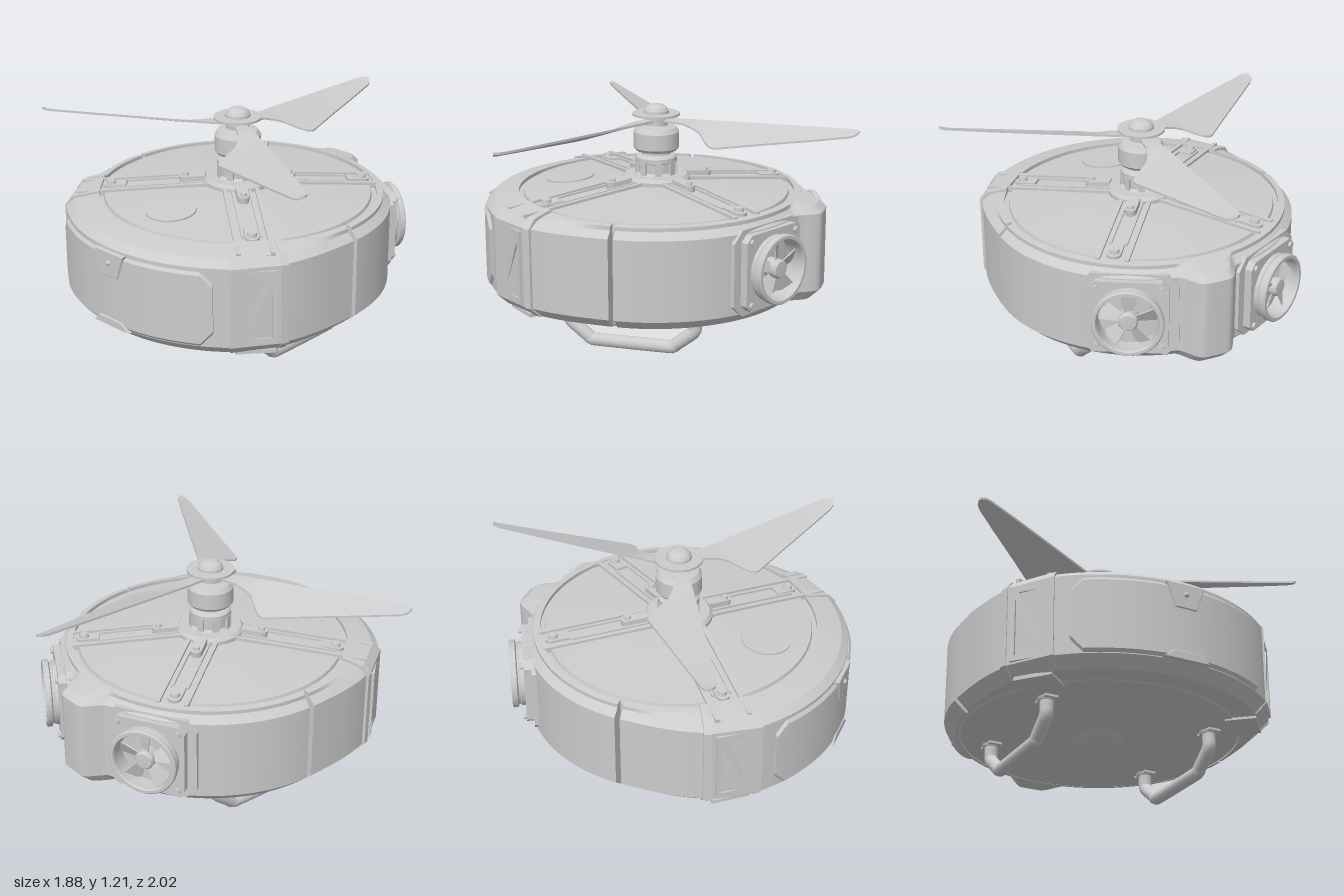
import * as THREE from 'three';
import { toCreasedNormals } from 'three/addons/utils/BufferGeometryUtils.js';

const mat = new THREE.MeshStandardMaterial({ color: 0xcccccc });
const rad = THREE.MathUtils.degToRad;
const smooth = THREE.MathUtils.smoothstep;

function add(parent, name, geo, x = 0, y = 0, z = 0) {
  const m = new THREE.Mesh(geo, mat);
  m.name = name;
  m.position.set(x, y, z);
  parent.add(m);
  return m;
}
function group(parent, name, angle = 0) {
  const g = new THREE.Group();
  g.name = name;
  g.rotation.y = rad(angle);
  parent.add(g);
  return g;
}
const cyl = (r, h, r2 = r, n = 32) => new THREE.CylinderGeometry(r, r2, h, n);
const box = (w, h, d) => new THREE.BoxGeometry(w, h, d);
const lathe = (pts, n = 64) =>
  toCreasedNormals(new THREE.LatheGeometry(pts.map(p => new THREE.Vector2(...p)), n), 0.4);
const poly = pts => new THREE.Shape(pts.map(p => new THREE.Vector2(...p)));
const slab = (shape, depth, bevel = 0) => new THREE.ExtrudeGeometry(shape, {
  depth, bevelEnabled: bevel > 0, bevelSize: bevel, bevelThickness: bevel, bevelSegments: 1, curveSegments: 32 });

// Skin over a list of equal-length convex rings, capped at both ends
function loft(rings) {
  const n = rings[0].length, last = (rings.length - 1) * n, idx = [];
  for (let i = 0; i < rings.length - 1; i++)
    for (let j = 0; j < n; j++) {
      const a = i * n + j, b = i * n + (j + 1) % n;
      idx.push(a, a + n, b + n, a, b + n, b);
    }
  for (let j = 1; j < n - 1; j++) idx.push(0, j, j + 1, last, last + j + 1, last + j);
  const g = new THREE.BufferGeometry();
  g.setAttribute('position', new THREE.Float32BufferAttribute(rings.flat(2), 3));
  g.setIndex(idx);
  return toCreasedNormals(g, 0.4);
}
// Sweep an (r, y) profile around the axis between two angles, 0 = front
function sweep(a0, a1, n, profile) {
  const rings = [];
  for (let i = 0; i <= n; i++) {
    const d = a0 + (a1 - a0) * i / n, a = rad(d);
    rings.push(profile(d).map(([r, y]) => [r * Math.sin(a), y, r * Math.cos(a)]));
  }
  return loft(rings);
}
// Outline radius: round sides, fuller front, narrow bump at the rear
function outline(d) {
  const a = Math.abs(d > 180 ? d - 360 : d);
  return 0.81 + 0.095 * (1 - smooth(a, 40, 88)) + 0.105 * smooth(a, 168, 176);
}
const shell = (extra = 0) => d => {
  const R = outline(d) + extra;
  return [[0.735, 0.225], [R - 0.06, 0.225], [R, 0.28], [R, 0.7],
    [R - 0.04, 0.735 + extra], [0.77, 0.755 + extra], [0.735, 0.76 + extra]];
};

function buildBody(g) {
  add(g, 'core', lathe([[0, 0.22], [0.72, 0.22], [0.738, 0.235], [0.738, 0.74], [0.71, 0.74], [0.705, 0.757],
    [0.45, 0.78], [0.2, 0.8], [0, 0.8]], 96));
  add(g, 'bellyDome', lathe([[0, 0.177], [0.05, 0.182], [0.1, 0.198], [0.14, 0.222]], 40));
  add(g, 'topDisc', cyl(0.13, 0.012), 0, 0.778, 0.49).rotation.x = 0.087;
  add(g, 'frontBumper', sweep(-41, 41, 40, shell()));
  add(g, 'rearShell', sweep(91, 269, 178, shell()));
  // Raised bumper panel with cut corners
  add(g, 'bumperPanel', sweep(-36, 36, 36, d => {
    const t = Math.max(0, (Math.abs(d) - 32) / 4), y0 = 0.285 + 0.07 * t, y1 = 0.68 - 0.06 * t;
    return [[0.88, y0], [0.908, y0], [0.92, y0 + 0.015], [0.92, y1 - 0.015], [0.908, y1], [0.88, y1]];
  }));
  add(g, 'cameraMount', slab(poly([[-0.055, 0.56], [0.055, 0.56], [0.1, 0.685], [-0.1, 0.685]]), 0.025, 0.005), 0, 0, 0.895);
  add(g, 'cameraLens', new THREE.SphereGeometry(0.014, 16, 10), 0, 0.63, 0.925);
  add(g, 'bumperTab', slab(poly([[-0.12, 0.282], [0.12, 0.282], [0.075, 0.32], [-0.075, 0.32]]), 0.02, 0.005), 0, 0, 0.9);
}

// Corner bracket, side shell and skid of one side
function buildSide(g) {
  add(g, 'sideShell', sweep(59.5, 89, 24, shell()));
  add(g, 'cornerBracket', sweep(41, 58, 1, shell(0.01)));
  add(g, 'bracketRib', sweep(57.5, 60, 2, shell(0.014)));
  const b = group(g, 'bracketPanel', 49.5);
  const face = poly([[-0.1, -0.2], [0.1, -0.2], [0.1, 0.19], [-0.1, 0.19]]);
  face.holes.push(poly([[-0.075, 0.165], [0.055, 0.165], [-0.075, -0.12]]),
    poly([[0.075, 0.13], [0.075, -0.17], [-0.06, -0.17]]));
  add(b, 'slottedPlate', slab(face, 0.016), 0, 0.49, 0.878);
  add(b, 'bracketFoot', box(0.2, 0.02, 0.16), 0, 0.222, 0.76);

  const s = group(g, 'skid');
  const half = [[0.22, 0.34], [0.145, 0.34], [0.12, 0.325], [0.05, 0.235], [0.035, 0.205]];
  const pts = [...half, ...half.slice().reverse().map(([y, z]) => [y, -z])]
    .map(([y, z]) => new THREE.Vector3(0.465, y, z));
  add(s, 'skidTube', new THREE.TubeGeometry(new THREE.CatmullRomCurve3(pts, false, 'catmullrom', 0.25), 80, 0.035, 14));
  for (const z of [0.34, -0.34]) {
    add(s, 'skidFlange', cyl(0.052, 0.02, 0.045, 20), 0.465, 0.215, z);
    add(s, 'skidPad', box(0.07, 0.02, 0.12), 0.465, 0.218, z);
  }
}

// Radial channel on the top plate with its bolt and hub clamp
function buildArm(g, angle, length, width) {
  const a = group(g, 'arm', angle);
  const t = group(a, 'channel');
  t.position.y = 0.812;
  t.rotation.x = 0.087;
  const mid = 0.12 + length / 2;
  add(t, 'channelFloor', box(width, 0.03, length), 0, -0.01, mid);
  for (const s of [-1, 1]) {
    add(t, 'outerRail', box(0.022, 0.04, length), s * (width / 2 - 0.011), 0, mid);
    add(t, 'innerRail', box(0.012, 0.034, length * 0.72), s * width * 0.24, 0, 0.12 + length * 0.4);
  }
  add(t, 'boltPad', box(0.07, 0.03, 0.09), 0, 0.006, 0.64);
  add(t, 'boltPadEnd', cyl(0.035, 0.03), 0, 0.006, 0.685);
  add(t, 'bolt', cyl(0.022, 0.02, 0.026, 20), 0, 0.03, 0.675);
  add(t, 'clamp', box(0.06, 0.04, 0.11), 0, 0.02, 0.225);
  add(t, 'clampEnd', cyl(0.03, 0.04), 0, 0.02, 0.28);
  add(t, 'clampBolt', cyl(0.016, 0.02, 0.02, 16), 0, 0.046, 0.275);
}

// Ducted rear fan on a chamfered square mount
function buildFan(g, angle) {
  const f = group(g, 'rearFan', angle);
  const octagon = (w, h, c) => poly([[-w, -h + c], [-w + c, -h], [w - c, -h], [w, -h + c],
    [w, h - c], [w - c, h], [-w + c, h], [-w, h - c]]);
  const y = 0.495;
  add(f, 'fanBase', slab(octagon(0.25, 0.225, 0.06), 0.08), 0, y, 0.715);
  const plate = octagon(0.2, 0.2, 0.035);
  plate.holes.push(new THREE.Path().absarc(0, 0, 0.158, 0, Math.PI * 2, true));
  add(f, 'fanPlate', slab(plate, 0.065), 0, y, 0.77);
  for (const sx of [-1, 1]) for (const sy of [-1, 1])
    add(f, 'fanScrew', cyl(0.016, 0.02, 0.016, 16), sx * 0.165, y + sy * 0.165, 0.84).rotation.x = Math.PI / 2;
  add(f, 'fanRing', lathe([[0.155, 0], [0.172, 0], [0.172, 0.055], [0.165, 0.06], [0.165, 0.068], [0.182, 0.075],
    [0.182, 0.098], [0.176, 0.105], [0.16, 0.105], [0.155, 0.095], [0.155, 0]], 48), 0, y, 0.8).rotation.x = Math.PI / 2;
  add(f, 'fanHub', lathe([[0.05, 0], [0.05, 0.085], [0.042, 0.097], [0, 0.1]], 28), 0, y, 0.79).rotation.x = Math.PI / 2;
  const vane = slab(poly([[-0.02, 0.03], [0.02, 0.03], [0.055, 0.13], [0.03, 0.147], [-0.04, 0.145]]), 0.006);
  for (let i = 0; i < 5; i++) {
    const h = new THREE.Group();
    h.name = 'fanBlade';
    h.position.set(0, y, 0.848);
    h.rotation.z = i * Math.PI * 0.4;
    add(h, 'vane', vane).rotation.y = 0.5;
    f.add(h);
  }
}

function buildRotor(g) {
  add(g, 'mast', lathe([[0, 0.79], [0.18, 0.79], [0.18, 0.82], [0.165, 0.838], [0.115, 0.838], [0.1, 0.85], [0.1, 0.9],
    [0.11, 0.905], [0.11, 0.93], [0.1, 0.94], [0.08, 0.945], [0.08, 0.965], [0.11, 0.965], [0.122, 0.98],
    [0.122, 1.065], [0.105, 1.09], [0.065, 1.095], [0.06, 1.1], [0.06, 1.15], [0, 1.15]], 48));
  for (let i = 0; i < 8; i++)
    add(group(g, 'mastPost', i * 45 + 22), 'post', box(0.035, 0.085, 0.025), 0, 0.872, 0.1);
  add(g, 'washer', cyl(0.125, 0.012, 0.125, 48), 0, 1.158);
  add(g, 'capDome', lathe([[0.068, 1.16], [0.066, 1.178], [0.055, 1.195], [0.035, 1.208], [0, 1.214]], 32));
  // Blade sections: distance from axis, leading edge, trailing edge
  const sections = [[0.03, -0.03, 0.03], [0.16, -0.035, 0.045], [0.22, -0.035, 0.065], [0.26, -0.035, 0.09],
    [0.3, -0.035, 0.15], [0.33, -0.035, 0.19], [0.36, -0.035, 0.206], [0.38, -0.035, 0.204], [0.6, -0.034, 0.148],
    [0.85, -0.032, 0.087], [1.03, -0.028, 0.042], [1.065, -0.02, 0.028], [1.08, -0.004, 0.01]];
  const blade = loft(sections.map(([s, l, t]) => {
    const y = 1.132 - 0.37 * (t - l) * smooth(s, 0.08, 0.3);
    return [[l, 1.12, -s], [t, y - 0.01, -s], [t, y, -s], [l, 1.132, -s]];
  }));
  for (let i = 0; i < 3; i++) add(g, 'propellerBlade', blade).rotation.y = rad(i * 120);
}

export function createModel() {
  const model = new THREE.Group();
  model.name = 'rotorDrone';
  const g = group(model, 'drone');
  g.position.z = 0.08;
  buildBody(g);
  buildRotor(g);
  for (const s of [1, -1]) {
    const side = group(g, s > 0 ? 'leftSide' : 'rightSide');
    side.scale.x = s;
    buildSide(side);
    buildArm(side, 49.5, 0.73, 0.19);
    buildArm(side, 144, 0.62, 0.17);
    buildFan(side, 151);
  }
  return model;
}
